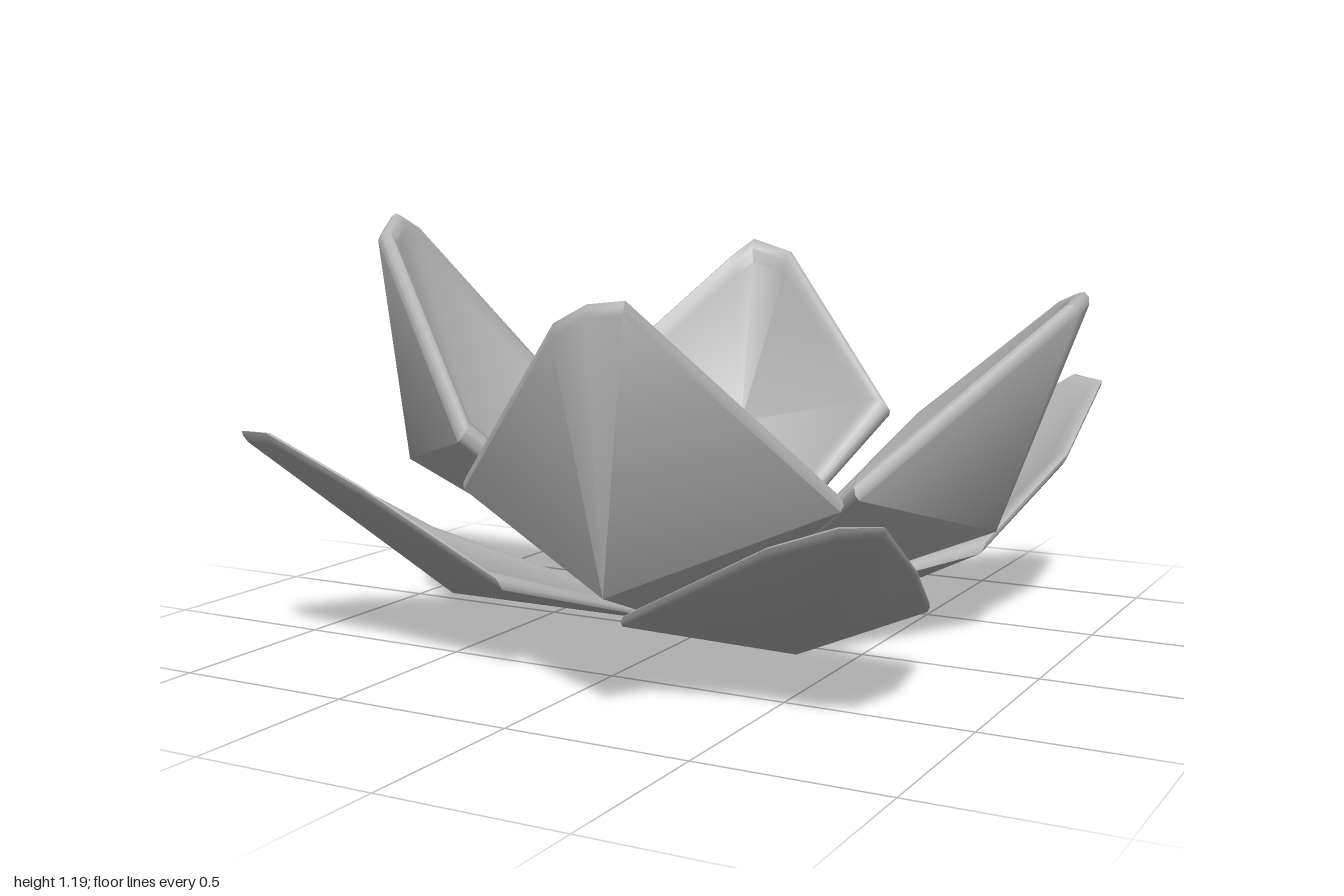
import * as THREE from 'three';
import { toCreasedNormals } from 'three/addons/utils/BufferGeometryUtils.js';

const V = (p) => new THREE.Vector3(...p);

// A thick folded petal: an outline (counter-clockwise from above, starting at
// the base), the keel point on its underside and the pit of its hollow.
function petalGeometry({ outline, keel, pit }) {
  const pts = outline.map(V);
  const keelPoint = V(keel);
  const pitPoint = V(pit);
  const n = pts.length;
  const middle = new THREE.Vector3();
  pts.forEach((p) => middle.addScaledVector(p, 1 / n));
  const inward = middle.clone().sub(keelPoint).normalize();

  // Rounded rim as [shrink toward middle, shift along inward], slimmer at the base
  const rim = [[0.012, -0.04], [0, -0.022], [0.012, -0.004], [0.05, 0.006], [0.11, 0.002], [0.18, -0.02]];
  const rings = rim.map(([s, d]) => pts.map((p, i) => {
    const k = i === 0 ? 0.35 : 1;
    return p.clone().lerp(middle, s * k).addScaledVector(inward, d * k);
  }));

  const out = [];
  const tri = (...c) => c.forEach((p) => out.push(p.x, Math.max(p.y, 0.002), p.z));
  const last = rings[rings.length - 1];
  for (let i = 0; i < n; i++) {
    const j = (i + 1) % n;
    tri(rings[0][j], rings[0][i], keelPoint); // underside
    for (let k = 0; k + 1 < rings.length; k++) {
      const a = rings[k], b = rings[k + 1];
      tri(a[i], a[j], b[j]);
      tri(a[i], b[j], b[i]);
    }
    tri(last[i], last[j], pitPoint); // hollow
  }
  const g = new THREE.BufferGeometry();
  g.setAttribute('position', new THREE.Float32BufferAttribute(out, 3));
  return toCreasedNormals(g, 0.85);
}

const petals = {
  // Upright cupped petals
  frontInnerPetal: {
    keel: [0.21, 0.32, 0.89], pit: [0.17, 0.45, 0.67],
    outline: [[-0.02, 0.02, -0.02], [-0.33, 0.54, 0.68], [0.13, 0.98, 0.97],
      [0.24, 1.03, 1], [0.33, 1.04, 0.98], [0.64, 0.53, 0.46]],
  },
  leftInnerPetal: {
    keel: [0.79, 0.33, -0.25], pit: [0.66, 0.46, -0.24],
    outline: [[0, 0.02, -0.06], [0.6, 0.53, 0.32], [0.98, 0.97, -0.28],
      [0.99, 1, -0.36], [0.92, 0.97, -0.41], [0.4, 0.58, -0.64]],
  },
  backInnerPetal: {
    keel: [-0.2, 0.37, -0.87], pit: [-0.24, 0.51, -0.73],
    outline: [[-0.03, 0.02, -0.07], [0.29, 0.6, -0.69], [-0.17, 1.06, -0.96],
      [-0.32, 1.1, -0.98], [-0.37, 1.04, -0.9], [-0.67, 0.61, -0.4]],
  },
  rightInnerPetal: {
    keel: [-0.88, 0.47, 0.19], pit: [-0.7, 0.53, 0.1],
    outline: [[-0.04, 0.02, -0.04], [-0.66, 0.6, -0.37], [-0.97, 1.16, 0.02],
      [-0.98, 1.2, 0.1], [-0.96, 1.15, 0.18], [-0.38, 0.64, 0.6]],
  },
  // Low spreading petals on the diagonals
  frontLeftOuterPetal: {
    keel: [0.5, 0.11, 0.43], pit: [0.53, 0.2, 0.49],
    outline: [[0, 0.015, -0.06], [0.17, 0.24, 0.74], [0.6, 0.47, 0.82], [0.81, 0.55, 0.88],
      [0.9, 0.55, 0.83], [0.87, 0.39, 0.55], [0.76, 0.22, 0.17]],
  },
  frontRightOuterPetal: {
    keel: [-0.58, 0.14, 0.4], pit: [-0.61, 0.24, 0.43],
    outline: [[-0.04, 0.015, -0.06], [-0.81, 0.26, 0.17], [-0.94, 0.45, 0.45], [-0.99, 0.63, 0.79],
      [-0.86, 0.64, 0.84], [-0.6, 0.5, 0.77], [-0.23, 0.28, 0.69]],
  },
  backRightOuterPetal: {
    keel: [-0.57, 0.13, -0.55], pit: [-0.61, 0.22, -0.59],
    outline: [[-0.04, 0.015, -0.1], [-0.28, 0.27, -0.85], [-0.6, 0.47, -0.92], [-0.91, 0.63, -0.99],
      [-0.99, 0.62, -0.95], [-0.91, 0.46, -0.65], [-0.8, 0.27, -0.28]],
  },
  backLeftOuterPetal: {
    keel: [0.47, 0.11, -0.52], pit: [0.51, 0.21, -0.57],
    outline: [[0, 0.015, -0.1], [0.75, 0.29, -0.29], [0.87, 0.5, -0.67], [0.89, 0.69, -0.95],
      [0.79, 0.7, -1], [0.5, 0.51, -0.93], [0.17, 0.27, -0.86]],
  },
};

export function createModel() {
  const group = new THREE.Group();
  group.name = 'lotusFlower';
  const material = new THREE.MeshStandardMaterial({ color: 0xb4b4b4 });
  material.name = 'petalGrey';

  for (const [name, shape] of Object.entries(petals)) {
    const mesh = new THREE.Mesh(petalGeometry(shape), material);
    mesh.name = name;
    group.add(mesh);
  }
  return group;
}
